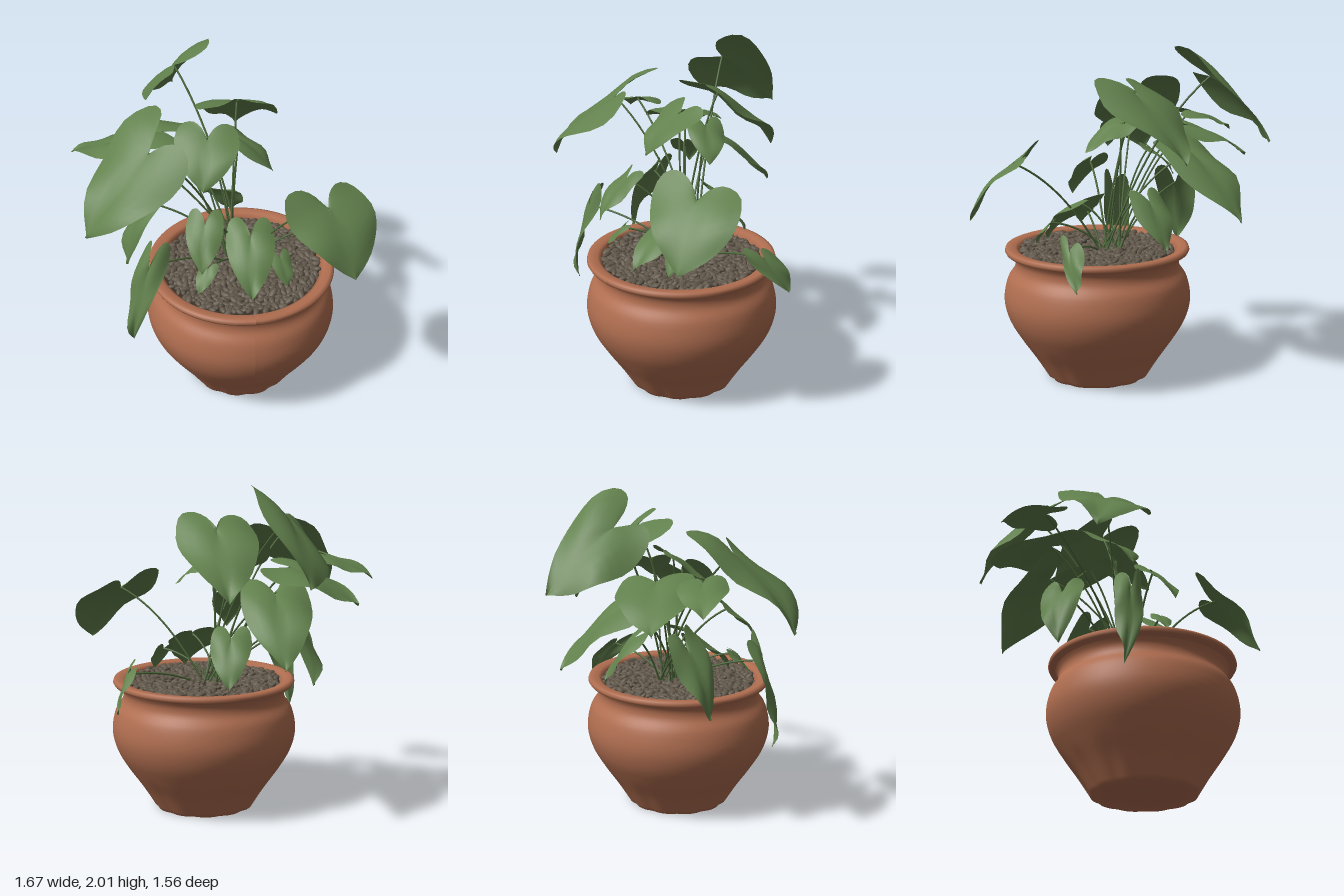
import * as THREE from 'three';
import { mergeGeometries } from 'three/addons/utils/BufferGeometryUtils.js';

const material = (name, color, side = THREE.FrontSide) => {
  const m = new THREE.MeshStandardMaterial({ color, side });
  m.name = name;
  return m;
};
const V = (a) => new THREE.Vector3(...a);
const V2 = ([x, y]) => new THREE.Vector2(x, y);
const UP = new THREE.Vector3(0, 1, 0);
const POT = [0.11, 0, 0.22];

function seeded(seed) {
  return () => {
    seed = (seed * 16807) % 2147483647;
    return seed / 2147483647;
  };
}

// Half outline of a heart leaf: x runs from stalk to tip, y sideways
const outline = new THREE.SplineCurve([
  [0, 0], [-0.2, 0.2], [-0.31, 0.5], [-0.24, 0.84], [0.05, 1],
  [0.35, 0.91], [0.65, 0.62], [0.86, 0.28], [1, 0],
].map(V2));

// Heart leaf from stalk joint, axis to the tip and half-width vector
function leafGeometry(joint, axis, side, phase) {
  const rows = 18, half = 5, cols = half * 2 + 1;
  const length = axis.length();
  const normal = side.clone().cross(axis).normalize();
  if (normal.y < 0) normal.negate();
  const pos = [], index = [];
  for (let i = 0; i <= rows; i++) {
    const t = i / rows;
    const edge = outline.getPoint(t);
    for (let j = -half; j <= half; j++) {
      const s = Math.abs(j) / half;
      const u = THREE.MathUtils.lerp(t, edge.x, s);
      const v = (edge.y * j) / half;
      const h = length * (0.25 * u * (1 - u) + 0.1 * Math.abs(v) - 0.16 * v * v
        + 0.04 * s * Math.sin(u * 7 + v * 2 + phase));
      const p = joint.clone().addScaledVector(axis, u).addScaledVector(side, v).addScaledVector(normal, h);
      pos.push(p.x, p.y, p.z);
      if (i < rows && j < half) {
        const a = i * cols + j + half;
        index.push(a, a + cols, a + 1, a + 1, a + cols, a + cols + 1);
      }
    }
  }
  const g = new THREE.BufferGeometry();
  g.setAttribute('position', new THREE.Float32BufferAttribute(pos, 3));
  g.setIndex(index);
  g.computeVertexNormals();
  return g;
}

// Tilted leaves: joint, tip, half-width vector
const TILTED_LEAVES = [
  [[-0.2, 1.82, -0.37], [-0.17, 1.47, -0.77], [0.2, 0.16, -0.02]],
  [[0.12, 1.73, -0.05], [0.17, 1.35, -0.43], [0.23, 0, 0.05]],
  [[-0.42, 1.65, 0.28], [-0.8, 1.25, 0.46], [0.09, -0.09, 0.26]],
  [[0.56, 1.34, 0.5], [0.68, 1, 0.73], [0.255, -0.03, -0.09]],
  [[-0.3, 1.5, -0.16], [-0.64, 1.29, -0.37], [-0.13, 0.02, 0.19]],
  [[-0.58, 1.54, -0.02], [-0.83, 1.41, -0.16], [-0.08, 0.01, 0.12]],
  [[-0.07, 1.59, 0.08], [-0.12, 1.37, 0.3], [0.18, 0, 0.05]],
  [[0.12, 1.55, 0.04], [0.3, 1.39, 0.17], [-0.05, 0.02, 0.1]],
  [[0.63, 0.89, 0.05], [0.72, 0.68, -0.06], [-0.03, 0.02, 0.1]],
  [[-0.45, 1, 0.46], [-0.56, 0.5, 0.48], [0.08, 0.03, 0.05]],
  [[-0.42, 1.12, -0.01], [-0.56, 0.73, 0.06], [0.04, 0.03, 0.12]],
];
// Level leaves: joint, tip; the width follows from the length
const LEVEL_LEAVES = [
  [[-0.17, 1.37, -0.26], [-0.08, 1, -0.65]],
  [[0.15, 1.05, 0.31], [0.12, 0.79, 0.58]],
  [[-0.13, 1.25, 0.43], [-0.17, 1.03, 0.6]],
  [[0.31, 0.95, 0.42], [0.34, 0.81, 0.51]],
  [[0.05, 1.09, -0.11], [0.12, 0.82, -0.27]],
  [[-0.12, 0.96, 0.47], [-0.18, 0.84, 0.54]],
  [[-0.12, 1.38, 0], [-0.21, 1.22, -0.12]],
];

function createPot(clay) {
  const body = new THREE.SplineCurve([
    [0.305, 0], [0.38, 0.12], [0.462, 0.24], [0.532, 0.36], [0.561, 0.48],
    [0.54, 0.6], [0.497, 0.67], [0.492, 0.72], [0.512, 0.757],
  ].map(V2)).getPoints(32);
  const foot = [[0, 0.03], [0.25, 0.03], [0.27, 0]].map(V2);
  const rim = [[0.545, 0.766], [0.553, 0.78], [0.548, 0.797], [0.53, 0.802],
    [0.49, 0.797], [0.468, 0.78], [0.462, 0.7]].map(V2);
  const g = new THREE.LatheGeometry([...foot, ...body, ...rim], 96);
  // Shallow flutes fading upward from the foot
  const p = g.attributes.position;
  for (let i = 0; i < p.count; i++) {
    const x = p.getX(i), y = p.getY(i), z = p.getZ(i);
    const fade = Math.max(0, 1 - y / 0.24) * (Math.hypot(x, z) > 0.28 ? 1 : 0);
    const k = 1 - 0.035 * fade * Math.pow(0.5 + 0.5 * Math.cos(12 * Math.atan2(z, x)), 2);
    p.setXYZ(i, x * k, y, z * k);
  }
  g.computeVertexNormals();
  const pot = new THREE.Mesh(g, clay);
  pot.name = 'pot';
  pot.position.set(...POT);
  return pot;
}

function createPebbles(mat) {
  const rnd = seeded(77);
  const stone = new THREE.IcosahedronGeometry(1, 1);
  const stones = [];
  const count = 680;
  for (let i = 0; i < count; i++) {
    const r = 0.455 * Math.sqrt((i + 0.5) / count), a = i * 2.39996;
    const size = 0.9 + 0.55 * rnd();
    const q = new THREE.Quaternion().setFromEuler(
      new THREE.Euler((rnd() - 0.5) * 0.9, rnd() * Math.PI * 2, (rnd() - 0.5) * 0.9));
    const m = new THREE.Matrix4().compose(
      V([POT[0] + r * Math.cos(a), 0.77 + 0.014 * rnd(), POT[2] + r * Math.sin(a)]), q,
      V([0.028 * size, 0.012 * size, 0.015 * size]));
    stones.push(stone.clone().applyMatrix4(m));
  }
  const mesh = new THREE.Mesh(mergeGeometries(stones), mat);
  mesh.name = 'pebbles';
  return mesh;
}

export function createModel() {
  const clay = material('terracotta', 0xb06e50, THREE.DoubleSide);
  const soilMat = material('darkSoil', 0x3a3229);
  const stoneMat = material('brownStone', 0x61574a);
  const leafMat = material('leafGreen', 0x62814d, THREE.DoubleSide);
  const stemMat = material('stemGreen', 0x4f6b3c);

  const model = new THREE.Group();
  model.name = 'pottedPlant';
  model.add(createPot(clay), createPebbles(stoneMat));

  const soil = new THREE.Mesh(new THREE.CircleGeometry(0.465, 48).rotateX(-Math.PI / 2), soilMat);
  soil.name = 'soil';
  soil.position.set(POT[0], 0.768, POT[2]);
  model.add(soil);

  // Leaves, each on an arching stem from the crown
  const plant = new THREE.Group();
  plant.name = 'plant';
  [...TILTED_LEAVES, ...LEVEL_LEAVES].forEach(([j, t, s], i) => {
    const joint = V(j);
    const axis = V(t).sub(joint);
    const side = s ? V(s) : axis.clone().cross(UP).setLength(0.38 * axis.length());
    const leaf = new THREE.Mesh(leafGeometry(joint, axis, side, i * 1.7), leafMat);
    leaf.name = 'leaf';
    const root = V([0.09 + 0.05 * Math.cos(i * 2.4), 0.76, 0.14 + 0.06 * Math.sin(i * 2.4)]);
    const bend = root.clone().lerp(joint, 0.45);
    bend.y = THREE.MathUtils.lerp(root.y, joint.y, 0.7) + 0.04;
    const curve = new THREE.QuadraticBezierCurve3(root, bend, joint);
    const stem = new THREE.Mesh(new THREE.TubeGeometry(curve, 14, 0.006, 6), stemMat);
    stem.name = 'stem';
    plant.add(leaf, stem);
  });
  model.add(plant);
  return model;
}
